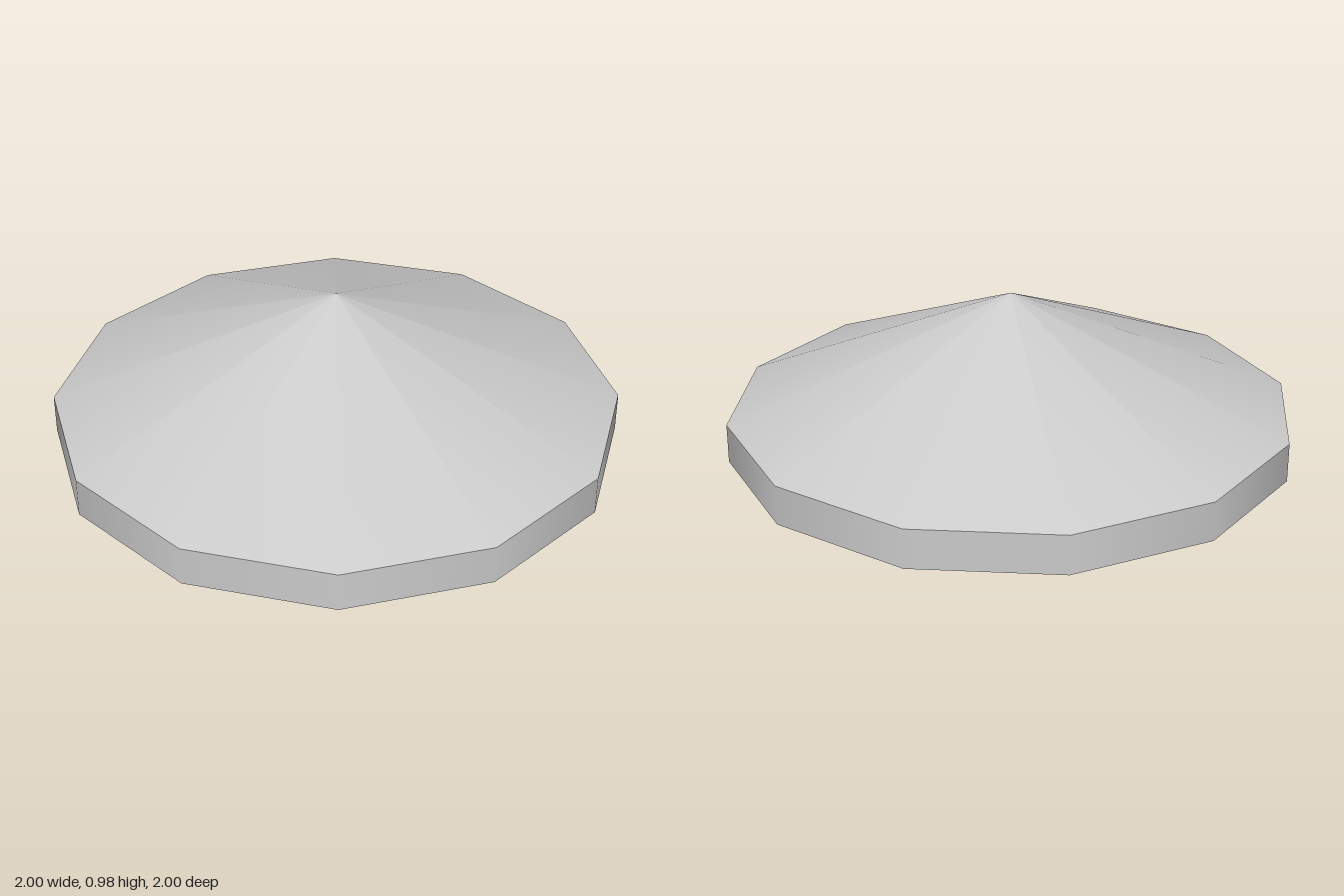
import * as THREE from 'three';

const SIDES = 12;
const RADIUS = 1;
const CONE_HEIGHT = 0.42;
const BAND_HEIGHT = 0.14;

export function createModel() {
  const group = new THREE.Group();
  group.name = 'doubleCone';
  const material = new THREE.MeshStandardMaterial({ color: 0xcccccc });

  // Open smooth-shaded ring section; separate sections keep the rims sharp
  const addSection = (name, topRadius, bottomRadius, height, base) => {
    const geometry = new THREE.CylinderGeometry(topRadius, bottomRadius, height, SIDES, 1, true);
    const mesh = new THREE.Mesh(geometry, material);
    mesh.name = name;
    mesh.position.y = base + height / 2;
    group.add(mesh);
  };

  addSection('lowerCone', 0, RADIUS, CONE_HEIGHT, 0);
  addSection('rimBand', RADIUS, RADIUS, BAND_HEIGHT, CONE_HEIGHT);
  addSection('upperCone', 0, RADIUS, CONE_HEIGHT, CONE_HEIGHT + BAND_HEIGHT);

  // Turn the lower cone point-down; a half turn keeps its faces outward
  group.getObjectByName('lowerCone').rotation.x = Math.PI;

  return group;
}
